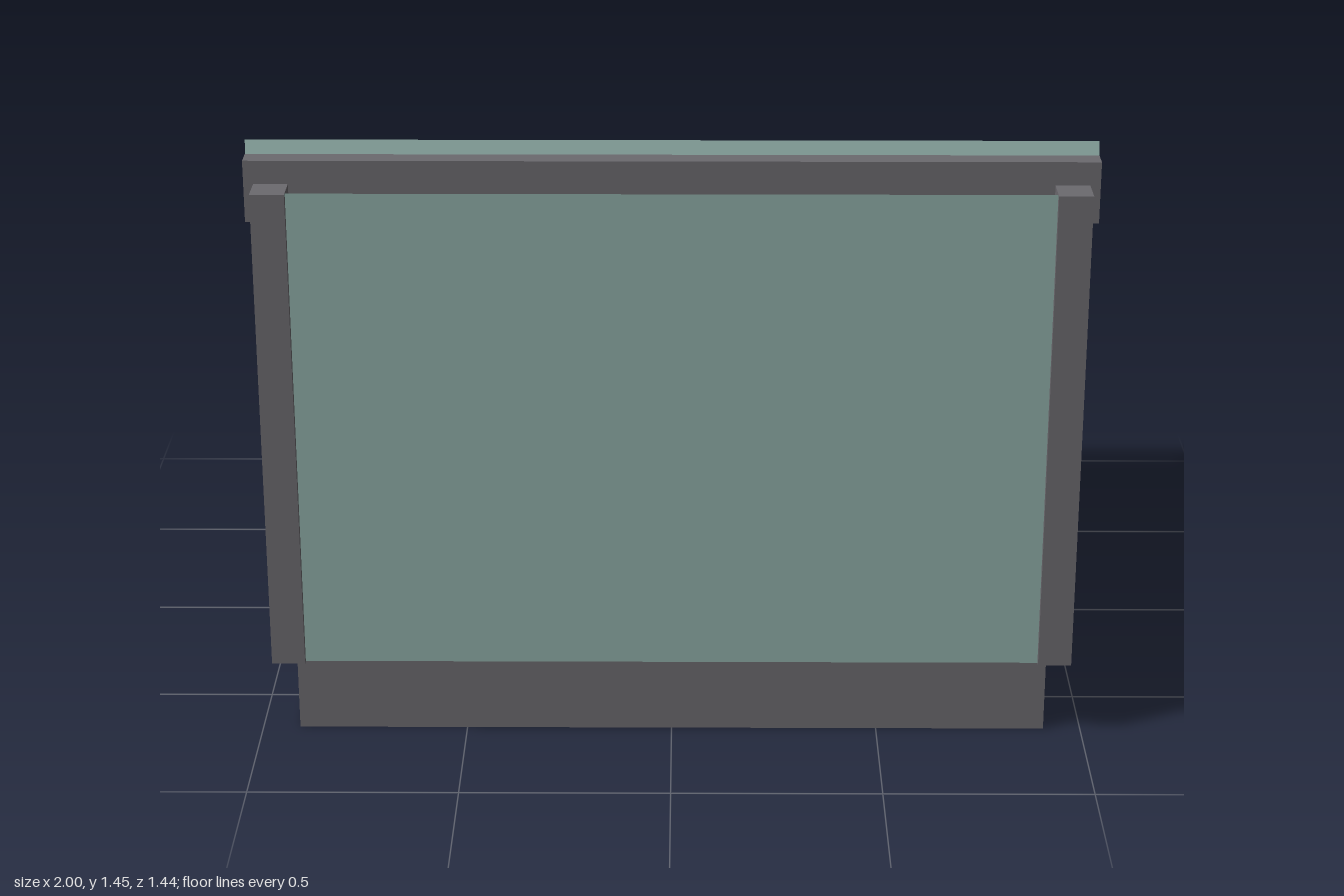
import * as THREE from 'three';

export function createModel() {
  const model = new THREE.Group();
  model.name = 'storageBin';

  const mat = (name, color) => {
    const m = new THREE.MeshStandardMaterial({ color });
    m.name = name;
    return m;
  };
  const green = mat('sageGreen', 0x8fada7);
  const grey = mat('darkGrey', 0x6c6a6f);
  const copper = mat('copper', 0xc89b6c);

  const add = (name, geometry, material, x = 0, y = 0, z = 0) => {
    const mesh = new THREE.Mesh(geometry, material);
    mesh.name = name;
    mesh.position.set(x, y, z);
    model.add(mesh);
    return mesh;
  };
  // Box given by its limits on each axis
  const box = (name, material, [x0, x1], [y0, y1], [z0, z1]) =>
    add(name, new THREE.BoxGeometry(x1 - x0, y1 - y0, z1 - z0), material,
      (x0 + x1) / 2, (y0 + y1) / 2, (z0 + z1) / 2);
  // Side profile of [z, y] points, extruded across the width
  const across = (name, material, points, halfWidth) => {
    const shape = new THREE.Shape(points.map(([z, y]) => new THREE.Vector2(-z, y)));
    const g = new THREE.ExtrudeGeometry(shape, { depth: halfWidth * 2, bevelEnabled: false });
    g.translate(0, 0, -halfWidth);
    g.rotateY(Math.PI / 2);
    return add(name, g, material);
  };

  // Plinth and sloping body
  box('plinth', grey, [-0.91, 0.91], [0, 0.2], [-0.39, 0.67]);
  across('body', green, [[0.705, 0.197], [-0.56, 0.197], [-0.56, 0.931], [0.705, 1.388]], 0.953);

  // Sloping lid with square ends, just clear of the body
  across('lid', green, [[0.539, 1.335], [-0.561, 0.938], [-0.603, 1.055], [0.497, 1.452]], 1);

  // Hinge rail along the high edge of the lid
  box('hingeRail', grey, [-1, 1], [1.27, 1.42], [0.497, 0.56]);

  for (const s of [-1, 1]) {
    const sideBox = (name, material, a, b, y, z) =>
      box(name, material, s > 0 ? [a, b] : [-b, -a], y, z);

    // Corner posts
    sideBox('frontPost', grey, 0.885, 0.965, [0.197, 1.39], [0.64, 0.72]);
    sideBox('rearPost', grey, 0.885, 0.965, [0.197, 0.93], [-0.57, -0.49]);

    // Side access panel with four square bolts
    sideBox('sidePanel', green, 0.95, 0.959, [0.345, 0.77], [-0.245, 0.435]);
    for (const y of [0.385, 0.727])
      for (const z of [-0.204, 0.394])
        sideBox('sideBolt', green, 0.955, 0.976, [y - 0.017, y + 0.017], [z - 0.017, z + 0.017]);

    // Handle bracket
    const bracket = new THREE.CylinderGeometry(0.02, 0.02, 0.14, 6).toNonIndexed();
    bracket.rotateX(Math.PI / 2);
    bracket.computeVertexNormals();
    add('handleBracket', bracket, grey, s * 0.785, 0.953, -0.61);
  }

  // Handle bar
  const bar = new THREE.CylinderGeometry(0.03, 0.03, 1.74, 8).toNonIndexed();
  bar.rotateZ(Math.PI / 2);
  bar.computeVertexNormals();
  add('handleBar', bar, copper, 0, 0.953, -0.69);

  // Rear panel with two rows of bolts and vent slats
  box('rearPanel', green, [-0.785, 0.785], [0.31, 0.82], [-0.569, -0.56]);
  for (let i = 0; i < 8; i++) {
    const x = -0.72 + i * 1.44 / 7;
    for (const y of [0.365, 0.757])
      box('rearBolt', copper, [x - 0.014, x + 0.014], [y - 0.014, y + 0.014], [-0.586, -0.565]);
  }
  for (let i = 0; i < 5; i++) {
    const y = 0.443 + i * 0.0635;
    box('ventSlat', grey, [-0.39, 0.39], [y - 0.012, y + 0.012], [-0.595, -0.565]);
  }

  return model;
}
